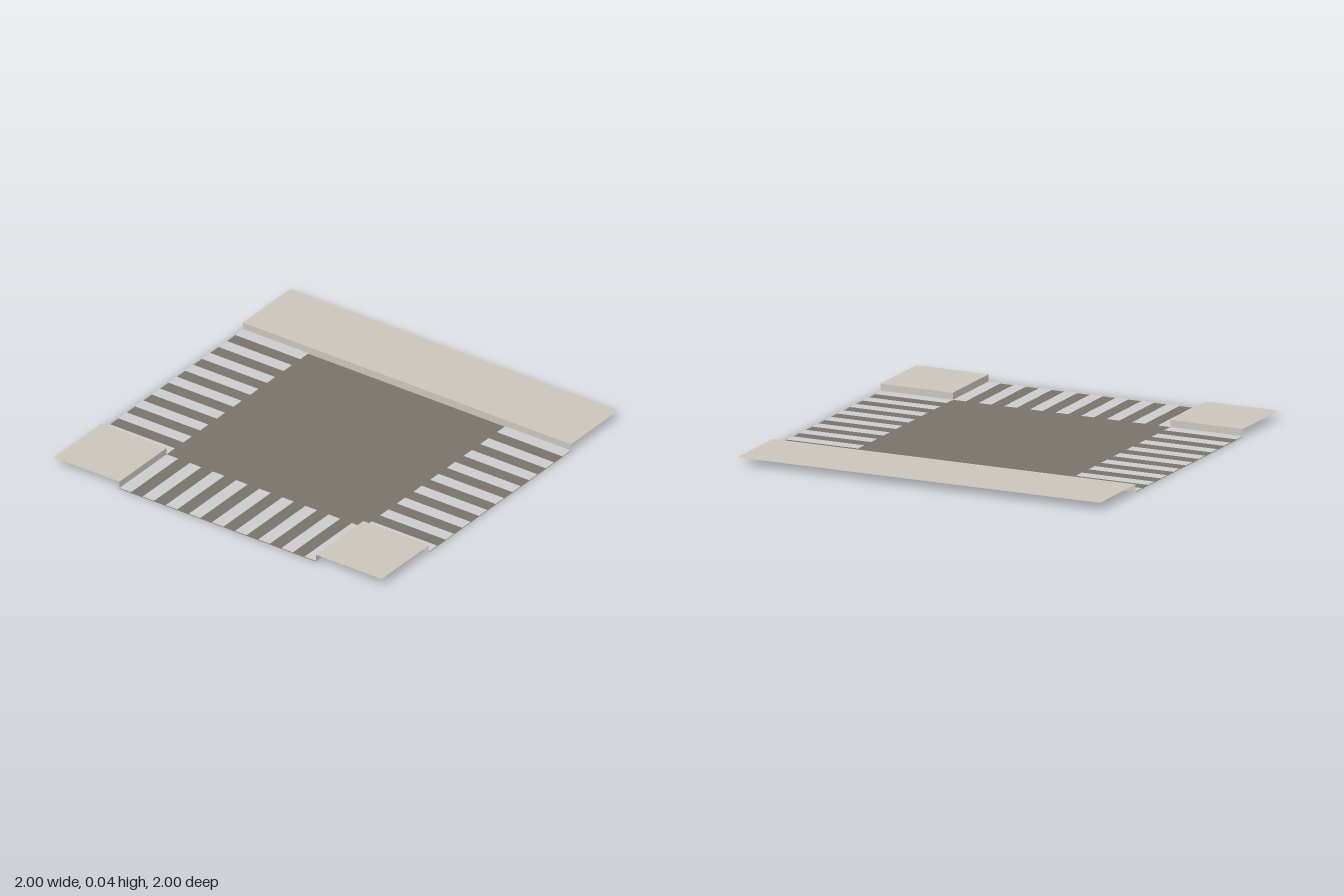
import * as THREE from 'three';

const CURB = 0.04;   // pavement height
const ROAD = 0.6;    // half width of the roadway
const EDGE = 1;      // half width of the tile
const PAINT = 0.004; // lift of the painted stripes

const surface = (color) =>
  new THREE.MeshStandardMaterial({ color, side: THREE.DoubleSide });

export function createModel() {
  const model = new THREE.Group();
  const asphalt = surface(0x78736a);
  const paving = surface(0xcac4ba);
  const paint = surface(0xcccccc);

  // Horizontal sheet facing up, covering x0..x1 and z0..z1
  function sheet(name, material, x0, x1, z0, z1, y, parent) {
    const geometry = new THREE.PlaneGeometry(x1 - x0, z1 - z0).rotateX(-Math.PI / 2);
    geometry.translate((x0 + x1) / 2, y, (z0 + z1) / 2);
    const mesh = new THREE.Mesh(geometry, material);
    mesh.name = name;
    parent.add(mesh);
  }

  // Upright curb face, turned about y to face the roadway
  function curb(length, x, z, angle, parent) {
    const geometry = new THREE.PlaneGeometry(length, CURB).rotateY(angle);
    geometry.translate(x, CURB / 2, z);
    const mesh = new THREE.Mesh(geometry, paving);
    mesh.name = 'curbFace';
    parent.add(mesh);
  }

  // T-shaped roadway: cross street plus the front arm
  const road = new THREE.Group();
  road.name = 'road';
  sheet('crossStreet', asphalt, -EDGE, EDGE, -ROAD, ROAD, 0, road);
  sheet('frontArm', asphalt, -ROAD, ROAD, ROAD, EDGE, 0, road);
  model.add(road);

  // Long pavement along the back
  const back = new THREE.Group();
  back.name = 'backPavement';
  sheet('pavementTop', paving, -EDGE, EDGE, -EDGE, -ROAD, CURB, back);
  curb(2 * EDGE, 0, -ROAD, 0, back);
  model.add(back);

  // Two front corner pavements
  const mid = (ROAD + EDGE) / 2;
  for (const side of [-1, 1]) {
    const corner = new THREE.Group();
    corner.name = side > 0 ? 'leftCornerPavement' : 'rightCornerPavement';
    sheet('pavementTop', paving, side * mid - 0.2, side * mid + 0.2, ROAD, EDGE, CURB, corner);
    curb(EDGE - ROAD, side * mid, ROAD, Math.PI, corner);
    curb(EDGE - ROAD, side * ROAD, mid, -side * Math.PI / 2, corner);
    model.add(corner);
  }

  // Zebra crossings on the three arms: 9 stripes with 8 equal gaps
  const step = (2 * ROAD) / 17;
  const [left, right, front] = ['leftCrossing', 'rightCrossing', 'frontCrossing'].map((name) => {
    const crossing = new THREE.Group();
    crossing.name = name;
    model.add(crossing);
    return crossing;
  });
  for (let i = 0; i < 9; i++) {
    const a = -ROAD + 2 * i * step;
    const b = a + step;
    sheet('stripe', paint, ROAD, EDGE, a, b, PAINT, left);
    sheet('stripe', paint, -EDGE, -ROAD, a, b, PAINT, right);
    sheet('stripe', paint, a, b, ROAD, EDGE, PAINT, front);
  }

  return model;
}
